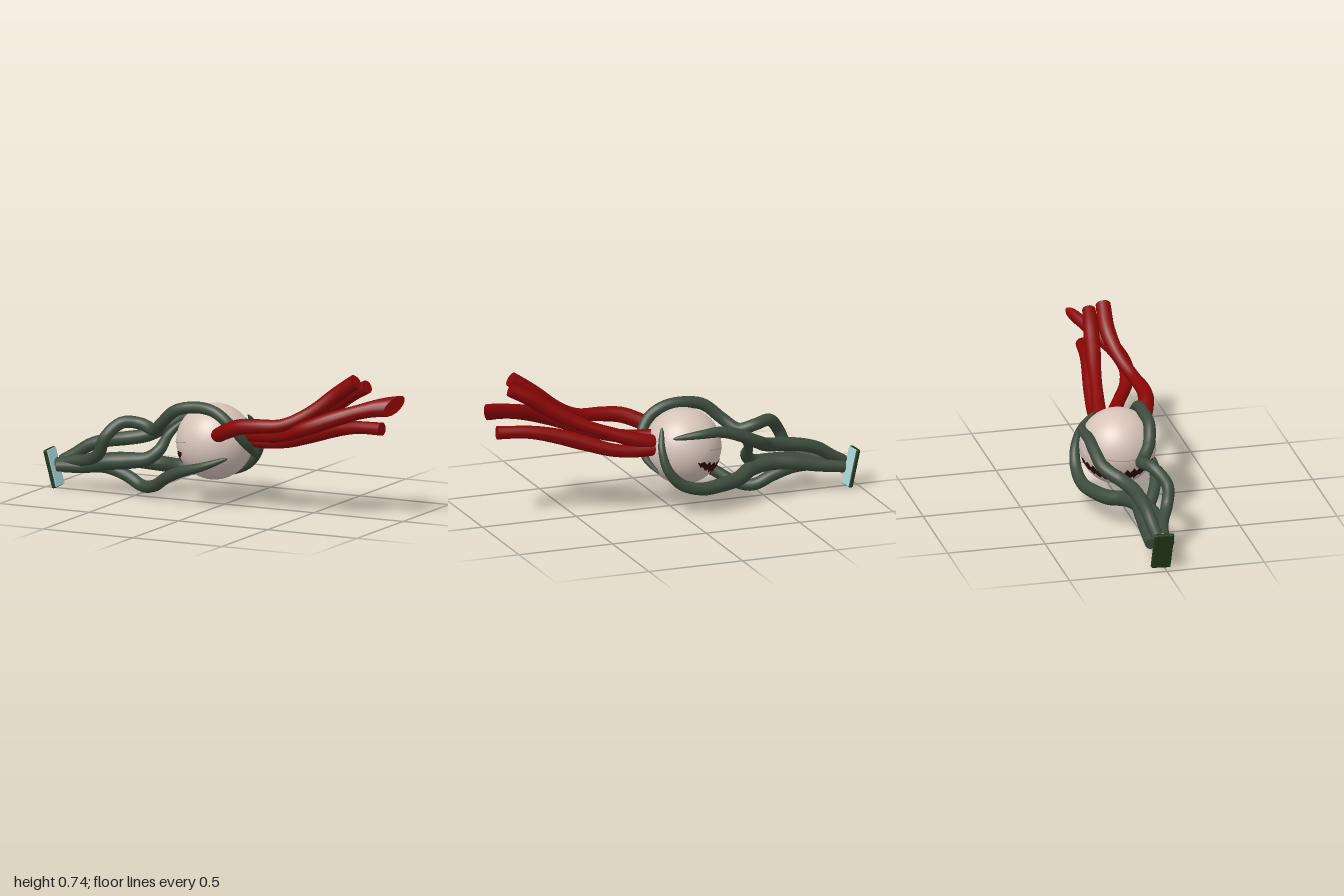
import * as THREE from 'three';
import { mergeGeometries } from 'three/addons/utils/BufferGeometryUtils.js';
import { RoundedBoxGeometry } from 'three/addons/geometries/RoundedBoxGeometry.js';

const mat = (name, color, side = THREE.FrontSide) => {
  const m = new THREE.MeshStandardMaterial({ color, side });
  m.name = name;
  return m;
};

const BALL = new THREE.Vector3(-0.065, 0.313, -0.018);
const R = 0.192;
const SEG = 72, SIDES = 16;
const WIDE = new THREE.Vector3(0, 0.7, -0.714);

// Capped tube along a smooth path; radius(t) sets thickness, flare(t) widens and slants the end cut
function tendril(points, radius, flare = () => 0) {
  const curve = new THREE.CatmullRomCurve3(points.map(p => new THREE.Vector3(...p)), false, 'centripetal');
  const tube = new THREE.TubeGeometry(curve, SEG, 1, SIDES, false);
  const pos = tube.attributes.position;
  const rings = [];
  const v = new THREE.Vector3();
  for (let i = 0; i <= SEG; i++) {
    const t = i / SEG, c = curve.getPointAt(t), f = flare(t), ring = [];
    for (let j = 0; j <= SIDES; j++) {
      const k = i * (SIDES + 1) + j;
      v.fromBufferAttribute(pos, k).sub(c).multiplyScalar(radius(t));
      v.addScaledVector(WIDE, v.dot(WIDE) * f);
      v.x -= 0.9 * f * v.z;
      v.add(c);
      pos.setXYZ(k, v.x, v.y, v.z);
      ring.push(v.clone());
    }
    rings.push(ring);
  }
  const cap = (ring, c, flip) => {
    const tri = [];
    for (let j = 0; j < SIDES; j++) {
      tri.push(c, ...(flip ? [ring[j + 1], ring[j]] : [ring[j], ring[j + 1]]));
    }
    const g = new THREE.BufferGeometry().setFromPoints(tri);
    g.setAttribute('uv', new THREE.Float32BufferAttribute(new Float32Array(tri.length * 2), 2));
    g.computeVertexNormals();
    return g;
  };
  return mergeGeometries([
    tube.toNonIndexed(),
    cap(rings[0], curve.getPointAt(0), false),
    cap(rings[SEG], curve.getPointAt(1), true),
  ]);
}

// Thin painted strip on the ball, facing -x; lower/upper give latitude at each azimuth
function ballStrip(a0, a1, n, lower, upper) {
  const pos = [], idx = [];
  for (let i = 0; i <= n; i++) {
    const a = a0 + (a1 - a0) * i / n;
    for (let k = 0; k <= 4; k++) {
      const lat = THREE.MathUtils.lerp(lower(a, i), upper(a, i), k / 4), r = R + 0.003;
      pos.push(BALL.x - r * Math.cos(lat) * Math.cos(a), BALL.y + r * Math.sin(lat), BALL.z + r * Math.cos(lat) * Math.sin(a));
      if (i < n && k < 4) {
        const p = i * 5 + k, q = p + 5;
        idx.push(p, q, p + 1, q, q + 1, p + 1);
      }
    }
  }
  const g = new THREE.BufferGeometry();
  g.setAttribute('position', new THREE.Float32BufferAttribute(pos, 3));
  g.setIndex(idx);
  g.computeVertexNormals();
  return g;
}

export function createModel() {
  const model = new THREE.Group();
  const red = mat('red', 0x880606);
  const green = mat('mossGreen', 0x3c4b3c);
  const skin = mat('paleSkin', 0xd6c3b9);
  const dark = mat('darkMouth', 0x300a07, THREE.DoubleSide);
  const crease = mat('crease', 0x9a8880, THREE.DoubleSide);
  const leaf = mat('darkGreen', 0x22381a);
  const blue = mat('paleBlue', 0xaad6da);
  const add = (name, geo, m, parent = model) => {
    const mesh = new THREE.Mesh(geo, m);
    mesh.name = name;
    parent.add(mesh);
    return mesh;
  };

  // Ball with a jagged grin curving up at the corners, and a crease above it
  add('ball', new THREE.SphereGeometry(R, 48, 32), skin).position.copy(BALL);
  const MID = -0.27, HALF = 1.28;
  const open = a => Math.sqrt(Math.max(0, 1 - ((a - MID) / HALF) ** 2));
  const grin = a => -0.52 + 0.33 * ((a - MID) / HALF) ** 2;
  add('mouth', ballStrip(MID - HALF, MID + HALF, 26,
    (a, i) => grin(a) - open(a) * (i % 2 ? 0.27 : 0.14),
    (a, i) => grin(a) + open(a) * (i % 2 ? 0.06 : 0.19)), dark);
  add('brow', ballStrip(-1.2, 1.2, 32, a => 0.02 - 0.08 * Math.cos(a * 2), a => 0.035 - 0.08 * Math.cos(a * 2)), crease);

  // Red streamers running from the ball to +x; the third ends in a broad slanted cut
  const reds = [
    [[0.02, 0.37, 0.12], [0.08, 0.4, 0.155], [0.18, 0.44, 0.19], [0.29, 0.455, 0.2], [0.42, 0.47, 0.185],
      [0.56, 0.54, 0.14], [0.68, 0.63, 0.115], [0.8, 0.715, 0.125]],
    [[0.08, 0.35, -0.05], [0.2, 0.38, -0.045], [0.35, 0.43, -0.02], [0.5, 0.49, 0.005], [0.64, 0.57, 0.03],
      [0.74, 0.635, 0.045], [0.83, 0.68, 0.06]],
    [[0.08, 0.37, 0], [0.2, 0.375, 0.03], [0.33, 0.39, 0.09], [0.45, 0.425, 0.155], [0.55, 0.465, 0.18],
      [0.68, 0.515, 0.155], [0.8, 0.555, 0.095], [0.89, 0.578, 0.055], [0.965, 0.588, 0.03]],
    [[0.08, 0.33, -0.06], [0.2, 0.325, -0.055], [0.32, 0.34, -0.045], [0.46, 0.385, -0.02], [0.6, 0.43, 0.005],
      [0.74, 0.46, 0.025], [0.905, 0.47, 0.045]],
  ];
  const flare = t => 1.05 * THREE.MathUtils.smoothstep(t, 0.78, 1);
  reds.forEach((p, i) => add('redStreamer' + (i + 1),
    tendril(p, t => 0.036 + 0.004 * Math.sin(t * 9 + i), i === 2 ? flare : undefined), red));

  // Green tendrils twisting from the foot and gripping the ball with pointed tips
  const greens = {
    upperTendril: [[-0.93, 0.13, 0.01], [-0.84, 0.15, 0.02], [-0.74, 0.17, 0.045], [-0.66, 0.215, 0.085], [-0.62, 0.3, 0.1],
      [-0.55, 0.375, 0.045], [-0.46, 0.37, 0.01], [-0.38, 0.35, 0.03], [-0.31, 0.4, 0.08], [-0.22, 0.475, 0.105],
      [-0.1, 0.5, 0.1], [0, 0.485, 0.105], [0.08, 0.43, 0.105], [0.135, 0.34, 0.055], [0.14, 0.27, -0.04], [0.115, 0.225, -0.14]],
    frontTendril: [[-0.92, 0.12, 0.03], [-0.8, 0.125, 0.02], [-0.66, 0.13, 0], [-0.55, 0.1, 0], [-0.45, 0.057, 0.015],
      [-0.36, 0.075, 0.06], [-0.27, 0.13, 0.115], [-0.17, 0.175, 0.15], [-0.04, 0.215, 0.16], [0.08, 0.26, 0.125]],
    lowerBackTendril: [[-0.91, 0.12, -0.06], [-0.78, 0.14, -0.05], [-0.65, 0.165, -0.04], [-0.52, 0.175, -0.03],
      [-0.41, 0.165, -0.06], [-0.32, 0.145, -0.13], [-0.2, 0.137, -0.18], [-0.09, 0.137, -0.205], [0.02, 0.175, -0.21],
      [0.085, 0.25, -0.2], [0.105, 0.35, -0.165], [0.08, 0.445, -0.1]],
    upperBackTendril: [[-0.92, 0.14, -0.02], [-0.85, 0.18, -0.03], [-0.77, 0.23, -0.04], [-0.68, 0.258, -0.05], [-0.58, 0.275, -0.06],
      [-0.48, 0.295, -0.1], [-0.4, 0.34, -0.175], [-0.3, 0.39, -0.195], [-0.2, 0.42, -0.2], [-0.09, 0.42, -0.205], [0.045, 0.4, -0.165]],
    innerTendril: [[-0.91, 0.11, -0.01], [-0.78, 0.13, 0.01], [-0.66, 0.16, 0.02], [-0.53, 0.175, 0],
      [-0.44, 0.19, -0.02], [-0.39, 0.235, -0.05], [-0.375, 0.3, -0.12], [-0.32, 0.37, -0.18]],
  };
  const swell = { lowerBackTendril: 0.01, innerTendril: 0.014, upperBackTendril: 0.006 };
  for (const [name, p] of Object.entries(greens)) {
    const extra = swell[name] ?? 0.002;
    add(name, tendril(p, t => 0.003 + 0.026 * Math.sqrt(Math.min(1, (1 - t) / 0.24))
      + extra * Math.sin(Math.PI * Math.min(1, t / 0.75))), green);
  }

  // Tilted foot plate with a pale inner face
  const foot = new THREE.Group();
  foot.name = 'footPlate';
  add('plate', new RoundedBoxGeometry(0.024, 0.198, 0.1, 3, 0.009), leaf, foot);
  add('plateFace', new RoundedBoxGeometry(0.006, 0.19, 0.092, 3, 0.0029), blue, foot).position.x = 0.0115;
  foot.position.set(-0.965, 0.101, -0.014);
  foot.rotation.set(0.05, 0, 0.24);
  model.add(foot);

  return model;
}
